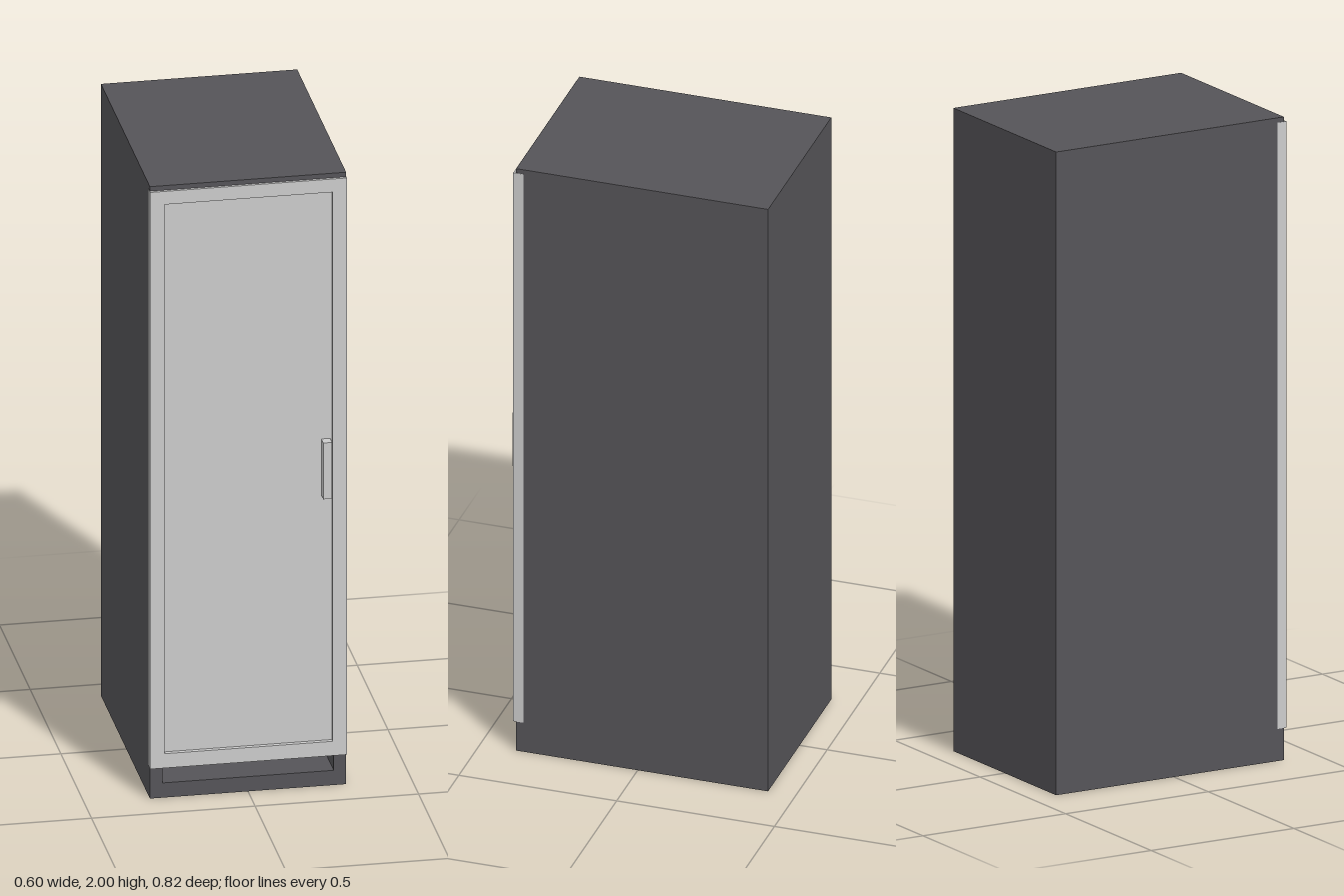
import * as THREE from 'three';

const dark = new THREE.MeshStandardMaterial({ color: 0x555458 });
const grey = new THREE.MeshStandardMaterial({ color: 0xcccccc });

function box(name, material, [x0, x1], [y0, y1], [z0, z1]) {
  const mesh = new THREE.Mesh(new THREE.BoxGeometry(x1 - x0, y1 - y0, z1 - z0), material);
  mesh.position.set((x0 + x1) / 2, (y0 + y1) / 2, (z0 + z1) / 2);
  mesh.name = name;
  return mesh;
}

// Rectangular frame in the xy plane with a rectangular opening, extruded from z0 to z1
function frame(name, material, [x0, x1], [y0, y1], [z0, z1], [ix0, ix1], [iy0, iy1]) {
  const rect = (path, a, b, c, d) => path.moveTo(a, c).lineTo(b, c).lineTo(b, d).lineTo(a, d).closePath();
  const shape = rect(new THREE.Shape(), x0, x1, y0, y1);
  shape.holes.push(rect(new THREE.Path(), ix0, ix1, iy0, iy1));
  const geometry = new THREE.ExtrudeGeometry(shape, { depth: z1 - z0, bevelEnabled: false });
  geometry.translate(0, 0, z0);
  const mesh = new THREE.Mesh(geometry, material);
  mesh.name = name;
  return mesh;
}

export function createModel() {
  const model = new THREE.Group();
  model.name = 'tallCabinet';

  // Hollow carcass, open at the front and closed by a back panel
  const carcass = new THREE.Group();
  carcass.name = 'carcass';
  carcass.add(
    frame('shell', dark, [-0.3, 0.3], [0, 2], [-0.375, 0.385], [-0.262, 0.262], [0.048, 1.952]),
    box('backPanel', dark, [-0.3, 0.3], [0, 2], [-0.413, -0.375]),
  );

  // Door with a raised border around a sunken panel, and a bar handle
  const door = new THREE.Group();
  door.name = 'door';
  door.add(
    frame('doorFrame', grey, [-0.301, 0.301], [0.1, 1.985], [0.362, 0.394], [-0.257, 0.257], [0.147, 1.942]),
    box('doorPanel', grey, [-0.257, 0.257], [0.147, 1.942], [0.362, 0.38]),
    box('handle', grey, [0.225, 0.252], [0.948, 1.132], [0.394, 0.412]),
  );
  // The handle stands on the sunken panel
  door.add(box('handleMount', grey, [0.225, 0.252], [0.948, 1.132], [0.38, 0.394]));

  model.add(carcass, door);
  return model;
}
